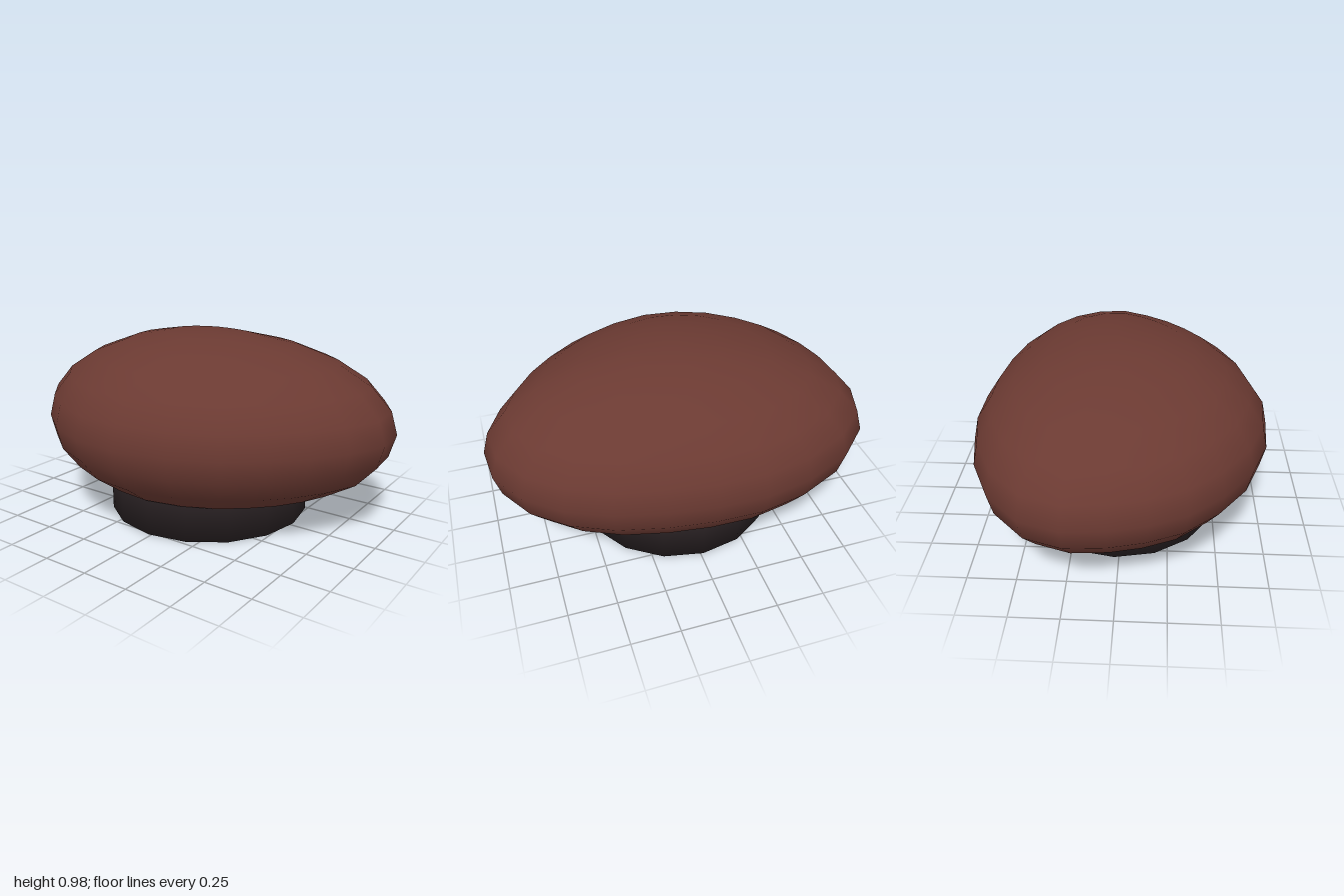
import * as THREE from 'three';
import { mergeVertices } from 'three/addons/utils/BufferGeometryUtils.js';

// Shared axis of the cap and the stem
const CX = -0.015, CZ = -0.025;

// Plan outline of the cap at its widest, from -x round by +z, as [x, z]
const OUTLINE = [
  [-0.985, -0.03], [-0.94, 0.15], [-0.86, 0.33], [-0.71, 0.5], [-0.51, 0.65], [-0.28, 0.74],
  [-0.02, 0.765], [0.25, 0.705], [0.48, 0.6], [0.65, 0.47], [0.79, 0.33], [0.91, 0.16],
  [1, -0.03], [0.98, -0.24], [0.865, -0.43], [0.695, -0.57], [0.48, -0.67], [0.23, -0.73],
  [-0.02, -0.762], [-0.265, -0.765], [-0.51, -0.715], [-0.76, -0.6], [-0.935, -0.43], [-1, -0.235],
];

// Weld the vertices so the whole surface shades smoothly
function smooth(geometry) {
  geometry.deleteAttribute('uv');
  geometry.deleteAttribute('normal');
  const welded = mergeVertices(geometry, 1e-4);
  welded.computeVertexNormals();
  return welded;
}

// Rounded cap: a sphere whose rings follow the plan outline
function capGeometry() {
  const columns = OUTLINE.length, rows = 12;
  const geometry = new THREE.SphereGeometry(1, columns, rows);
  const position = geometry.attributes.position;
  for (let i = 0; i < position.count; i++) {
    const row = Math.floor(i / (columns + 1));
    const [x, z] = OUTLINE[(i % (columns + 1)) % columns];
    const angle = Math.PI * row / rows;
    const r = Math.sin(angle);
    position.setXYZ(i, CX + (x - CX) * r, 0.52 + 0.462 * Math.cos(angle), CZ + (z - CZ) * r);
  }
  return smooth(geometry);
}

export function createModel() {
  const brown = new THREE.MeshStandardMaterial({ color: 0x6b3a32 });
  brown.name = 'reddish brown';
  const dark = new THREE.MeshStandardMaterial({ color: 0x2a2224 });
  dark.name = 'near black';

  const cap = new THREE.Mesh(capGeometry(), brown);
  cap.name = 'cap';

  // Short round stem, sunk into the cap
  const stem = new THREE.Mesh(smooth(new THREE.CylinderGeometry(0.545, 0.545, 0.28, 16)), dark);
  stem.name = 'stem';
  stem.position.set(CX, 0.14, CZ);

  const model = new THREE.Group();
  model.name = 'model';
  model.add(cap, stem);
  return model;
}
